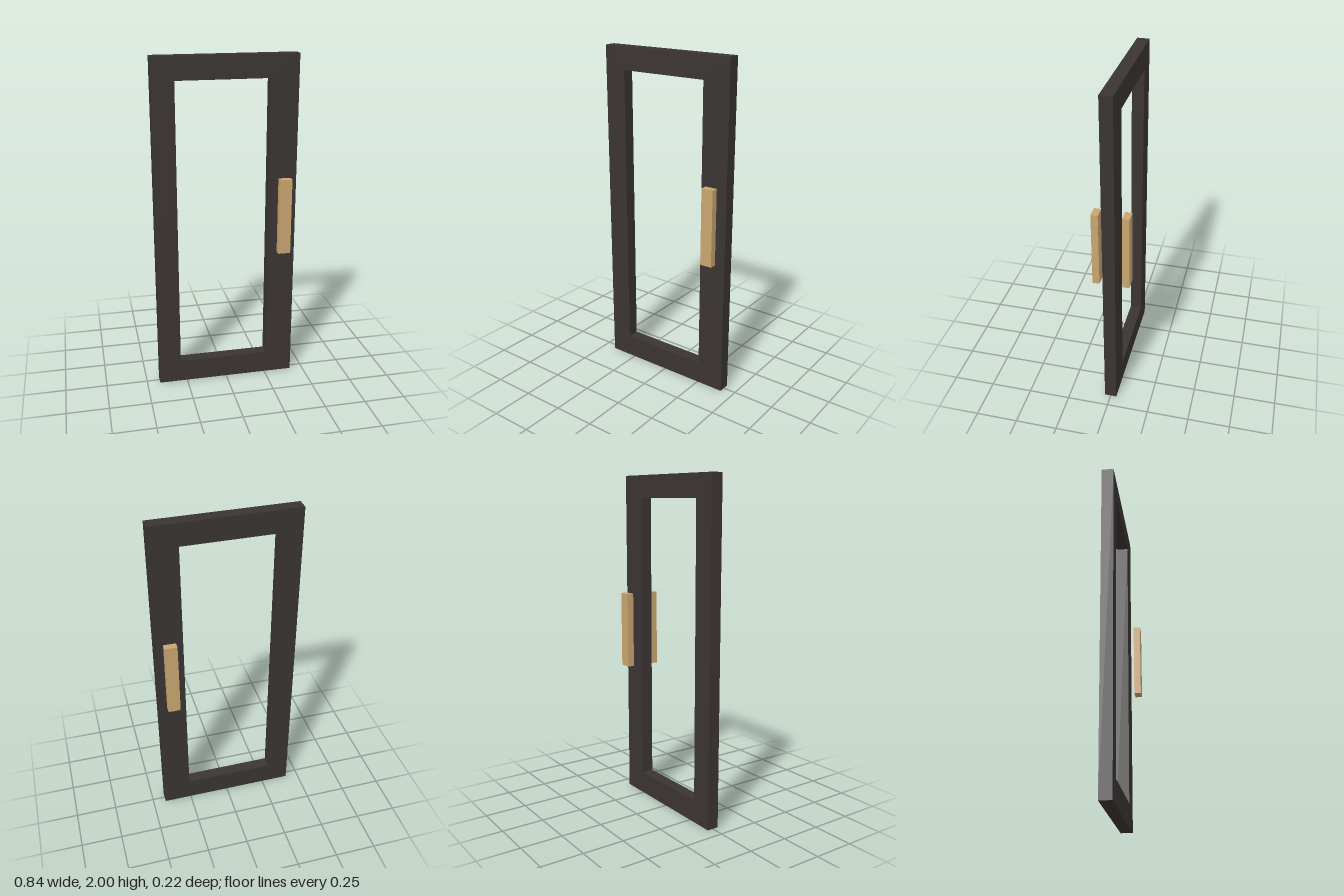
import * as THREE from 'three';

export function createModel() {
  const model = new THREE.Group();
  model.name = 'door';

  const darkFrame = new THREE.MeshStandardMaterial({ color: 0x3b3434 });
  darkFrame.name = 'dark frame';
  const tanHandle = new THREE.MeshStandardMaterial({ color: 0xc9a56f });
  tanHandle.name = 'tan handle';

  const rectangle = (PathType, x0, y0, x1, y1) => new PathType([
    new THREE.Vector2(x0, y0), new THREE.Vector2(x1, y0),
    new THREE.Vector2(x1, y1), new THREE.Vector2(x0, y1),
  ]);

  // Frame with an open centre; the handle-side stile is wider
  const depth = 0.072;
  const outline = rectangle(THREE.Shape, -0.421, 0, 0.421, 2);
  outline.holes.push(rectangle(THREE.Path, -0.289, 0.137, 0.256, 1.866));
  const frameGeometry = new THREE.ExtrudeGeometry(outline, { depth, bevelEnabled: false });
  frameGeometry.translate(0, 0, -depth / 2);
  const frame = new THREE.Mesh(frameGeometry, darkFrame);
  frame.name = 'doorFrame';
  model.add(frame);

  // Matching pull bars, held clear of both faces
  const handleGeometry = new THREE.BoxGeometry(0.073, 0.456, 0.041);
  for (const [name, side] of [['frontHandle', 1], ['backHandle', -1]]) {
    const handle = new THREE.Mesh(handleGeometry, tanHandle);
    handle.name = name;
    handle.position.set(0.34, 1.063, side * 0.087);
    model.add(handle);
  }

  return model;
}
